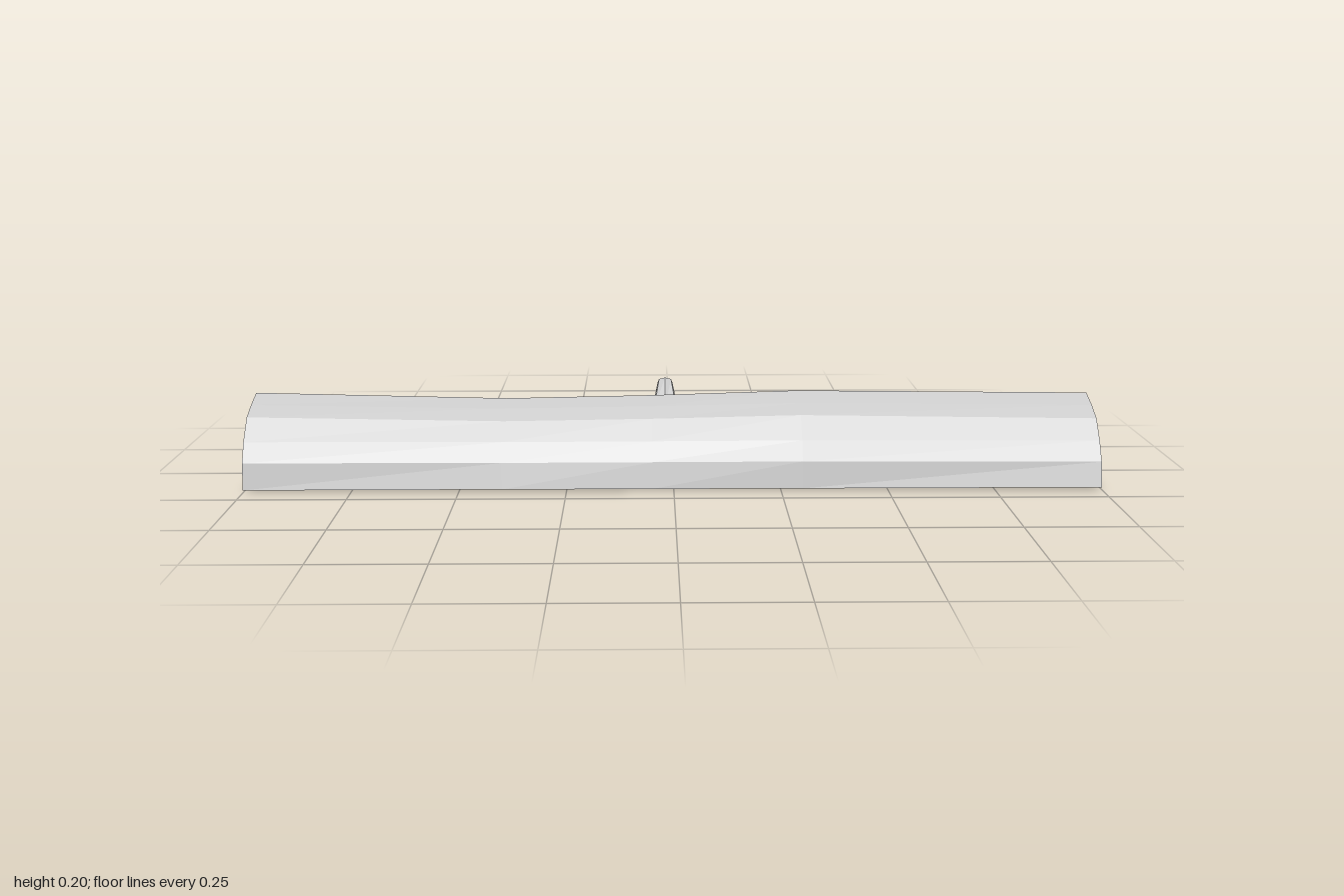
import * as THREE from 'three';

const material = new THREE.MeshStandardMaterial({ color: 0xcccccc, flatShading: true, side: THREE.DoubleSide });

// Cross-sections as [z, y], running from the front edge over the crown to the back edge
const inner = [[0.175, 0.007], [0.157, 0.06], [0.13, 0.105], [0.098, 0.145], [0.055, 0.169], [0, 0.183],
  [-0.055, 0.16], [-0.095, 0.13], [-0.13, 0.105], [-0.15, 0.055], [-0.17, 0.001]];
const thick = [[0.187, 0.007], [0.18, 0.07], [0.157, 0.115], [0.11, 0.165], [0.06, 0.184], [0, 0.202],
  [-0.06, 0.184], [-0.105, 0.16], [-0.143, 0.116], [-0.18, 0.07], [-0.187, 0.015]];
const worn = [[0.187, 0.007], [0.173, 0.065], [0.145, 0.11], [0.105, 0.154], [0.057, 0.176], [0, 0.195],
  [-0.055, 0.173], [-0.1, 0.143], [-0.14, 0.112], [-0.164, 0.06], [-0.187, 0.015]];

// Stations along the length: crown thickness, and wear of the outer surface
const stations = [
  { x: -1, t: 0.9, wear: 0 },
  { x: -0.4, t: 0.1, wear: 0 },
  { x: -0.05, t: 0.45, wear: 0 },
  { x: 0.3, t: 1, wear: 0 },
  { x: 1, t: 1, wear: 1 },
];

// Closed ring of one station: outer points, then inner points back again
function ring({ x, t, wear }) {
  const outer = inner.map(([z, y], i) => {
    const k = 1 - (1 - t) * Math.sin(Math.PI * i / 10);
    const oz = THREE.MathUtils.lerp(thick[i][0], worn[i][0], wear);
    const oy = THREE.MathUtils.lerp(thick[i][1], worn[i][1], wear);
    return [x, y + (oy - y) * k, z + (oz - z) * k];
  });
  return [...outer, ...inner.map(([z, y]) => [x, y, z]).reverse()];
}

function shellGeometry() {
  const rings = stations.map(ring);
  const n = rings[0].length;
  const pos = [];
  const quad = (a, b, c, d) => pos.push(...a, ...b, ...c, ...a, ...c, ...d);
  for (let s = 0; s < rings.length - 1; s++) {
    for (let i = 0; i < n; i++) {
      const j = (i + 1) % n;
      quad(rings[s][i], rings[s + 1][i], rings[s + 1][j], rings[s][j]);
    }
  }
  // end faces between outer and inner curves
  const first = rings[0], last = rings[rings.length - 1];
  for (let i = 0; i < n / 2 - 1; i++) {
    const p = n - 1 - i;
    quad(first[i], first[i + 1], first[p - 1], first[p]);
    quad(last[i], last[p], last[p - 1], last[i + 1]);
  }
  const geo = new THREE.BufferGeometry();
  geo.setAttribute('position', new THREE.Float32BufferAttribute(pos, 3));
  geo.computeVertexNormals();
  return geo;
}

export function createModel() {
  const group = new THREE.Group();
  group.name = 'hollowHalfLog';

  const shell = new THREE.Mesh(shellGeometry(), material);
  shell.name = 'barkShell';
  group.add(shell);

  // Broken-off branch: a tapered hollow stub leaning out of the back
  const base = new THREE.Vector3(-0.017, 0.126, -0.118);
  const tip = new THREE.Vector3(-0.017, 0.192, -0.17);
  const axis = tip.clone().sub(base);
  const stubGeo = new THREE.CylinderGeometry(0.019, 0.035, axis.length(), 7, 1, true);
  const p = stubGeo.attributes.position;
  for (let i = 0; i < p.count; i++) {
    // oval at the base, rounder at the tip
    p.setZ(i, p.getZ(i) * (p.getY(i) > 0 ? 1.1 : 0.76));
  }
  const stub = new THREE.Mesh(stubGeo, material);
  stub.name = 'branchStub';
  stub.position.copy(base).add(tip).multiplyScalar(0.5);
  stub.quaternion.setFromUnitVectors(new THREE.Vector3(0, 1, 0), axis.normalize());
  group.add(stub);

  return group;
}
